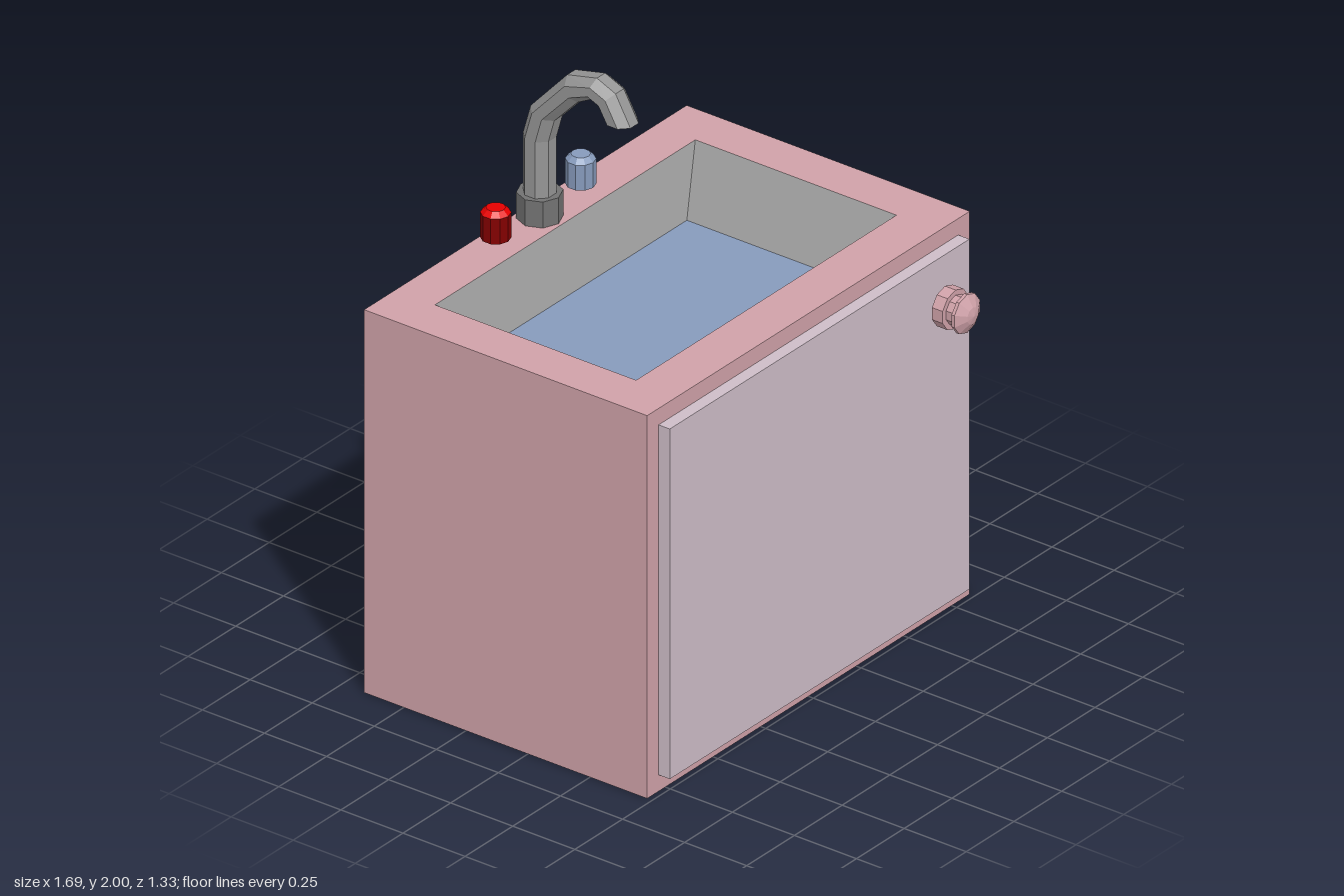
import * as THREE from 'three';

const paint = (name, color, flat = true) => {
  const m = new THREE.MeshStandardMaterial({ color, flatShading: flat });
  m.name = name;
  return m;
};

// Joins a series of equal-length point rings with flat faces
function loft(rings) {
  const pos = [];
  for (let r = 0; r < rings.length - 1; r++) {
    const a = rings[r], b = rings[r + 1], n = a.length;
    for (let i = 0; i < n; i++) {
      const j = (i + 1) % n;
      for (const p of [a[i], a[j], b[j], a[i], b[j], b[i]]) pos.push(...p);
    }
  }
  const g = new THREE.BufferGeometry();
  g.setAttribute('position', new THREE.Float32BufferAttribute(pos, 3));
  g.computeVertexNormals();
  return g;
}

// Horizontal rectangle, counter-clockwise from above
const rect = (x, z0, z1, y) => [[-x, y, z1], [x, y, z1], [x, y, z0], [-x, y, z0]];

export function createModel() {
  const group = new THREE.Group();
  const pink = paint('dusty pink', 0xcfa1a8);
  const mauve = paint('pale mauve', 0xcdbcc7);
  const steel = paint('steel grey', 0x959595);
  const darkSteel = paint('dark steel', 0x727272);
  const blue = paint('water blue', 0x869abb);
  const red = paint('bright red', 0xe60000);
  const darkRed = paint('dark red', 0x820000);

  const add = (name, geometry, material, x = 0, y = 0, z = 0) => {
    const mesh = new THREE.Mesh(geometry, material);
    mesh.name = name;
    mesh.position.set(x, y, z);
    group.add(mesh);
    return mesh;
  };

  // Cabinet with an open counter top
  add('cabinet', loft([
    rect(0, -0.09, -0.09, 0), rect(0.845, -0.66, 0.48, 0),
    rect(0.845, -0.66, 0.48, 1.4), rect(0.682, -0.5, 0.31, 1.4),
  ]), pink);

  // Sloping basin and water
  add('basin', loft([rect(0.682, -0.5, 0.31, 1.4), rect(0.475, -0.375, 0.19, 1.24)]), steel);
  add('water', loft([rect(0.475, -0.375, 0.19, 1.24), rect(0, -0.09, -0.09, 1.24)]), blue);

  // Door and its turned knob
  add('door', new THREE.BoxGeometry(1.57, 1.28, 0.045), mauve, 0, 0.7, 0.5025);
  const knobProfile = [
    [0, 0], [0.071, 0], [0.071, 0.043], [0.052, 0.043], [0.052, 0.07],
    [0.07, 0.078], [0.07, 0.09], [0.03, 0.113], [0, 0.119],
  ].map(([r, h]) => new THREE.Vector2(r, h));
  add('doorKnob', new THREE.LatheGeometry(knobProfile, 10), pink, 0.63, 1.173, 0.545)
    .rotation.x = Math.PI / 2;

  // Tap collar
  add('tapCollar', new THREE.CylinderGeometry(0.076, 0.076, 0.095, 8), darkSteel, -0.02, 1.4475, -0.587);

  // Bent spout: each row is outer z, y then inner z, y
  const bends = [
    [-0.637, 1.45, -0.536, 1.45], [-0.637, 1.705, -0.536, 1.7],
    [-0.607, 1.81, -0.512, 1.785], [-0.46, 1.972, -0.418, 1.885],
    [-0.34, 2.0, -0.362, 1.915], [-0.265, 1.968, -0.33, 1.903],
    [-0.205, 1.862, -0.305, 1.862],
  ];
  const spoutRings = bends.map(([oz, oy, iz, iy]) => {
    const ring = [];
    for (let i = 0; i < 8; i++) {
      const t = (i + 0.5) * Math.PI / 4, k = 1 / Math.cos(Math.PI / 8);
      const s = Math.sin(t) * k / 2;
      ring.push([
        -0.02 + 0.052 * k * Math.cos(t),
        (oy + iy) / 2 + (oy - iy) * s,
        (oz + iz) / 2 + (oz - iz) * s,
      ]);
    }
    return ring;
  });
  spoutRings.push(Array(8).fill([-0.02, 1.862, -0.255]));
  add('tapSpout', loft(spoutRings), steel);

  // Hot and cold handles, each a drum with a chamfered cap
  const handles = [['hot', -0.24, darkRed, red], ['cold', 0.205, blue, blue]];
  for (const [name, x, side, top] of handles) {
    add(name + 'Handle', new THREE.CylinderGeometry(0.05, 0.05, 0.092, 10), side, x, 1.466, -0.595);
    add(name + 'HandleCap', new THREE.CylinderGeometry(0.032, 0.05, 0.018, 10), top, x, 1.521, -0.595);
  }

  return group;
}
